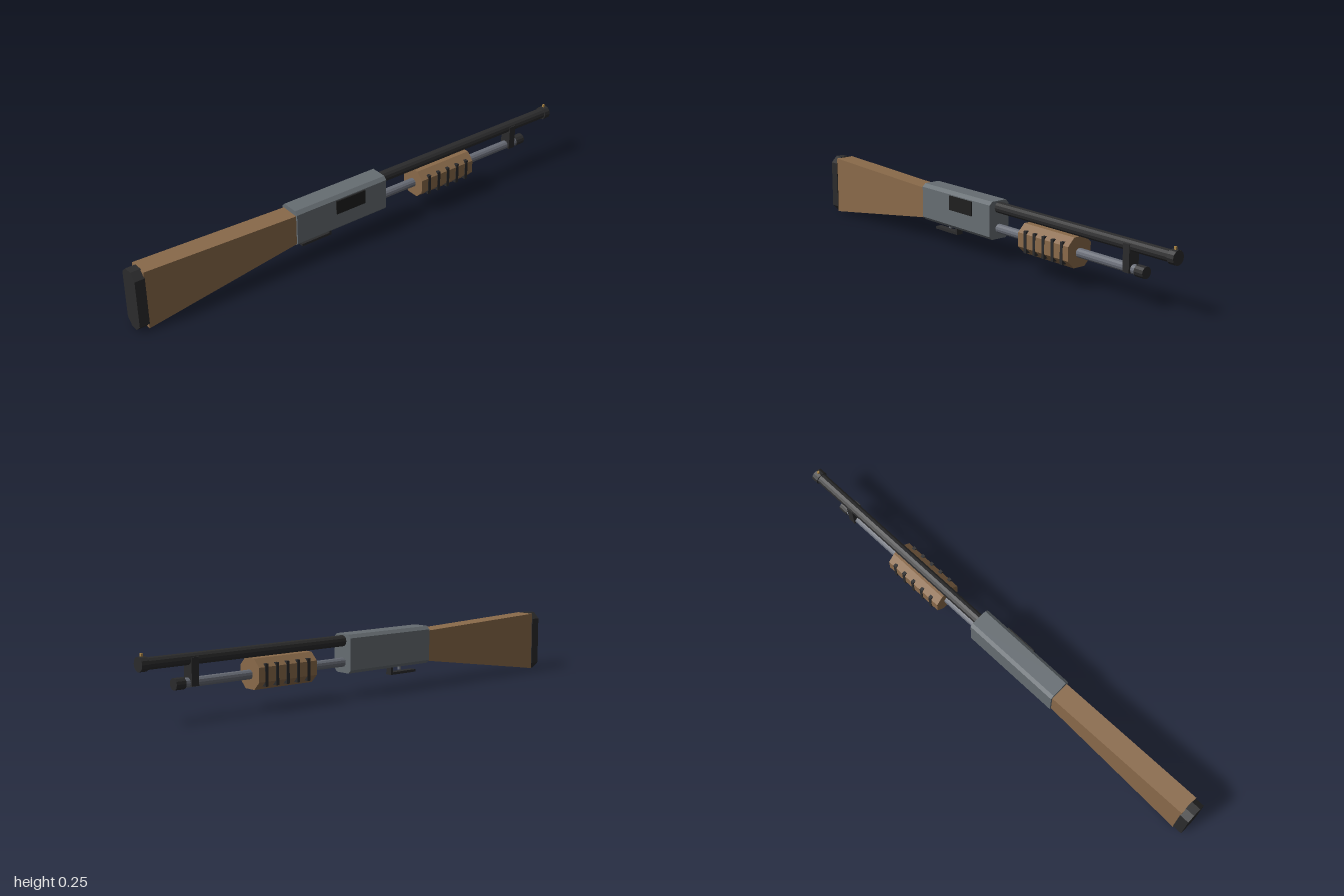
import * as THREE from 'three';

const material = (name, color) => {
  const m = new THREE.MeshStandardMaterial({ color, flatShading: true });
  m.name = name;
  return m;
};

export function createModel() {
  const group = new THREE.Group();
  group.name = 'pumpShotgun';
  const wood = material('wood', 0x8a6a4a);
  const steel = material('receiver steel', 0x666d72);
  const tubeSteel = material('tube steel', 0x686c76);
  const black = material('black metal', 0x2b2b2c);
  const portBlack = material('port black', 0x1f1f1f);
  const brass = material('brass', 0xa88345);

  const add = (name, geometry, mat, x = 0, y = 0, z = 0) => {
    const mesh = new THREE.Mesh(geometry, mat);
    mesh.name = name;
    mesh.position.set(x, y, z);
    group.add(mesh);
    return mesh;
  };
  const box = (name, mat, [x0, x1], [y0, y1], [z0, z1]) =>
    add(name, new THREE.BoxGeometry(x1 - x0, y1 - y0, z1 - z0), mat,
      (x0 + x1) / 2, (y0 + y1) / 2, (z0 + z1) / 2);
  // Round bar along z
  const bar = (name, mat, r, y, z0, z1) =>
    add(name, new THREE.CylinderGeometry(r, r, z1 - z0, 12).rotateX(Math.PI / 2), mat, 0, y, (z0 + z1) / 2);
  // Box along z with its four long edges cut off
  const chamferBox = (name, mat, w, y0, y1, z0, z1, c) => {
    const shape = new THREE.Shape([
      [w - c, y0], [w, y0 + c], [w, y1 - c], [w - c, y1],
      [c - w, y1], [-w, y1 - c], [-w, y0 + c], [c - w, y0],
    ].map(([x, y]) => new THREE.Vector2(x, y)));
    return add(name, new THREE.ExtrudeGeometry(shape, { depth: z1 - z0, bevelEnabled: false }), mat, 0, 0, z0);
  };

  // Stock: side profile (z, y) extruded across x
  const profile = new THREE.Shape([[0.32, 0.1], [0.962, 0.003], [0.962, 0.243], [0.32, 0.222]]
    .map(([z, y]) => new THREE.Vector2(z, y)));
  const stock = new THREE.ExtrudeGeometry(profile, { depth: 0.08, bevelEnabled: false });
  add('stock', stock.translate(0, 0, -0.04).rotateY(-Math.PI / 2), wood);
  chamferBox('buttPad', black, 0.043, 0, 0.246, 0.96, 1, 0.026);

  // Receiver
  chamferBox('receiver', steel, 0.047, 0.091, 0.241, -0.095, 0.325, 0.013);
  box('ejectionPort', portBlack, [0.044, 0.053], [0.167, 0.224], [0.01, 0.146]);

  // Trigger and its open guard
  box('guardFrontPost', black, [-0.014, 0.014], [0.057, 0.095], [0.146, 0.156]);
  box('guardBar', black, [-0.014, 0.014], [0.057, 0.067], [0.146, 0.282]);
  box('trigger', tubeSteel, [-0.005, 0.005], [0.072, 0.095], [0.2, 0.21]);

  // Barrel with muzzle ring and bead
  bar('barrel', black, 0.022, 0.215, -0.99, -0.09);
  bar('muzzleRing', black, 0.027, 0.215, -1, -0.972);
  box('sightBead', brass, [-0.004, 0.004], [0.238, 0.252], [-0.99, -0.982]);

  // Magazine tube, cap and the bracket holding it to the barrel
  bar('magazineTube', tubeSteel, 0.018, 0.132, -0.83, -0.09);
  bar('magazineCap', black, 0.022, 0.132, -0.862, -0.822);
  box('barrelBracket', black, [-0.024, 0.024], [0.12, 0.222], [-0.802, -0.772]);

  // Sliding grip with five ribs on each side
  chamferBox('grip', wood, 0.056, 0.078, 0.192, -0.537, -0.27, 0.03);
  for (let i = 0; i < 5; i++) {
    const z = -0.309 - i * 0.0485;
    for (const s of [-1, 1]) {
      add('gripRib', new THREE.BoxGeometry(0.022, 0.084, 0.013), black, s * 0.047, 0.132, z);
    }
  }
  return group;
}
